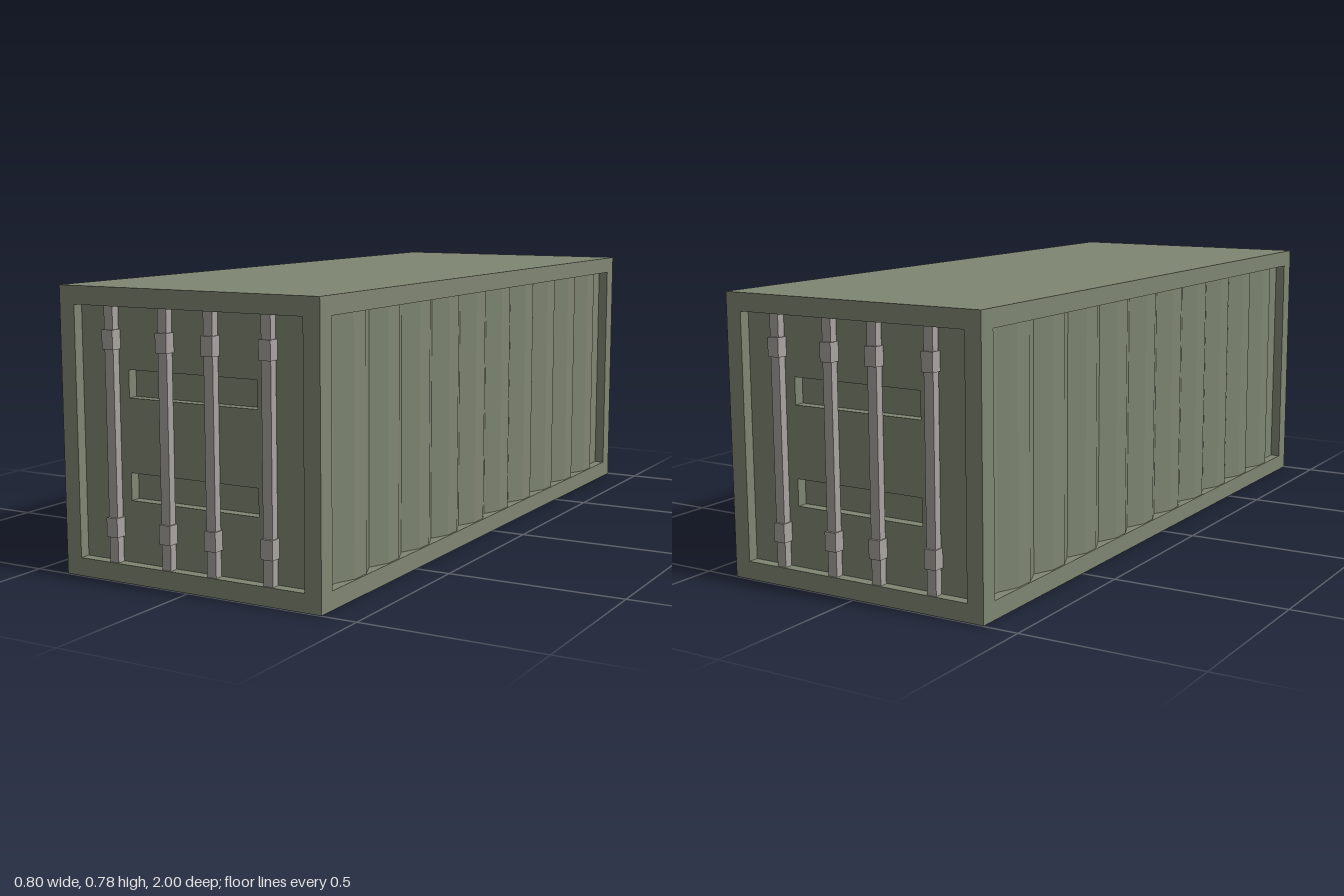
import * as THREE from 'three';

const H = 0.78, HALF_W = 0.4, HALF_L = 0.998;
const Y0 = 0.05, Y1 = 0.73, RECESS = 0.03;

const paint = new THREE.MeshStandardMaterial({ color: 0x7f8672, flatShading: true, side: THREE.DoubleSide });
const steel = new THREE.MeshStandardMaterial({ color: 0xa8a39f, flatShading: true });

function add(parent, name, geometry, material = paint) {
  const mesh = new THREE.Mesh(geometry, material);
  mesh.name = name;
  parent.add(mesh);
  return mesh;
}

function rectPoints(x0, x1, y0, y1) {
  return [[x0, y0], [x1, y0], [x1, y1], [x0, y1]].map(([x, y]) => new THREE.Vector2(x, y));
}

// Flat sheet facing +z with rectangular openings
function sheet(outer, openings, z) {
  const shape = new THREE.Shape(rectPoints(...outer));
  for (const o of openings) shape.holes.push(new THREE.Path(rectPoints(...o).reverse()));
  return new THREE.ShapeGeometry(shape).translate(0, 0, z);
}

// Skin joining a row of cross-sections; zero-area triangles are left out
function loft(sections) {
  const positions = [];
  const tri = new THREE.Triangle();
  const push = (a, b, c) => {
    tri.set(a, b, c);
    if (tri.getArea() > 1e-8) for (const p of [a, b, c]) positions.push(p.x, p.y, p.z);
  };
  for (let i = 0; i < sections.length - 1; i++) {
    const s = sections[i], t = sections[i + 1];
    for (let j = 0; j < s.length - 1; j++) {
      push(s[j], t[j], t[j + 1]);
      push(s[j], t[j + 1], s[j + 1]);
    }
  }
  const g = new THREE.BufferGeometry();
  g.setAttribute('position', new THREE.Float32BufferAttribute(positions, 3));
  g.computeVertexNormals();
  return g;
}

// Shallow tray behind an opening: profile lists [x, depth z] along its width
function tray(profile, y0, y1, zFront) {
  const first = profile[0][0], last = profile[profile.length - 1][0];
  const stations = [[first, zFront], ...profile, [last, zFront]];
  return loft(stations.map(([x, z]) => [
    new THREE.Vector3(x, y0, zFront),
    new THREE.Vector3(x, y0, z),
    new THREE.Vector3(x, y1, z),
    new THREE.Vector3(x, y1, zFront),
  ]));
}

// Rim walls around a rectangle, without a back
function rim([x0, x1, y0, y1], zFront, zBack) {
  const loop = rectPoints(x0, x1, y0, y1);
  return loft([...loop, loop[0]].map((p) => [
    new THREE.Vector3(p.x, p.y, zFront),
    new THREE.Vector3(p.x, p.y, zBack),
  ]));
}

// Long wall: flat border and corrugated panel
function sideWall() {
  const g = new THREE.Group();
  const edge = 0.945, n = 32, step = (2 * edge) / n;
  add(g, 'sideFrame', sheet([-HALF_L, HALF_L, 0, H], [[-edge, edge, Y0, Y1]], HALF_W));
  const profile = [];
  for (let i = 0; i <= n; i++) {
    // ridges with a flat crest, meeting in sharp valleys
    const crest = i > 0 && i < n && i % 3 !== 1;
    profile.push([-edge + i * step, HALF_W - (crest ? 0.005 : RECESS)]);
  }
  add(g, 'corrugatedPanel', tray(profile, Y0, Y1, HALF_W));
  return g;
}

// End wall: border, recessed doors with pockets, locking bars
function endWall() {
  const g = new THREE.Group();
  const opening = [-0.352, 0.352, Y0, Y1];
  const pockets = [[-0.2, 0.2, 0.217, 0.291], [-0.2, 0.2, 0.49, 0.564]];
  const zDoor = HALF_L - RECESS;

  add(g, 'endFrame', sheet([-HALF_W, HALF_W, 0, H], [opening], HALF_L));
  add(g, 'doorRim', rim(opening, HALF_L, zDoor));
  add(g, 'doorPanel', sheet(opening, pockets, zDoor));
  for (const [x0, x1, y0, y1] of pockets) {
    const z = zDoor - RECESS;
    add(g, 'doorPocket', tray([[x0, z], [x1, z]], y0, y1, zDoor));
  }

  for (const x of [-0.243, -0.071, 0.071, 0.243]) {
    const bar = new THREE.Group();
    bar.name = 'lockingBar';
    add(bar, 'rod', new THREE.BoxGeometry(0.028, Y1 - Y0, 0.023), steel).position.set(x, (Y0 + Y1) / 2, 0.982);
    for (const y of [0.145, 0.643]) {
      add(bar, 'bracket', new THREE.BoxGeometry(0.035, 0.052, 0.033), steel).position.set(x, y, 0.9835);
    }
    g.add(bar);
  }
  return g;
}

export function createModel() {
  const model = new THREE.Group();
  model.name = 'shippingContainer';

  // Roof; the underside is open
  add(model, 'roof', new THREE.PlaneGeometry(2 * HALF_W, 2 * HALF_L).rotateX(-Math.PI / 2).translate(0, H, 0));

  for (const [name, turn] of [['left', Math.PI / 2], ['right', -Math.PI / 2]]) {
    const wall = sideWall();
    wall.name = name + 'Wall';
    wall.rotation.y = turn;
    model.add(wall);
  }
  for (const [name, turn] of [['front', 0], ['back', Math.PI]]) {
    const wall = endWall();
    wall.name = name + 'Doors';
    wall.rotation.y = turn;
    model.add(wall);
  }
  return model;
}
